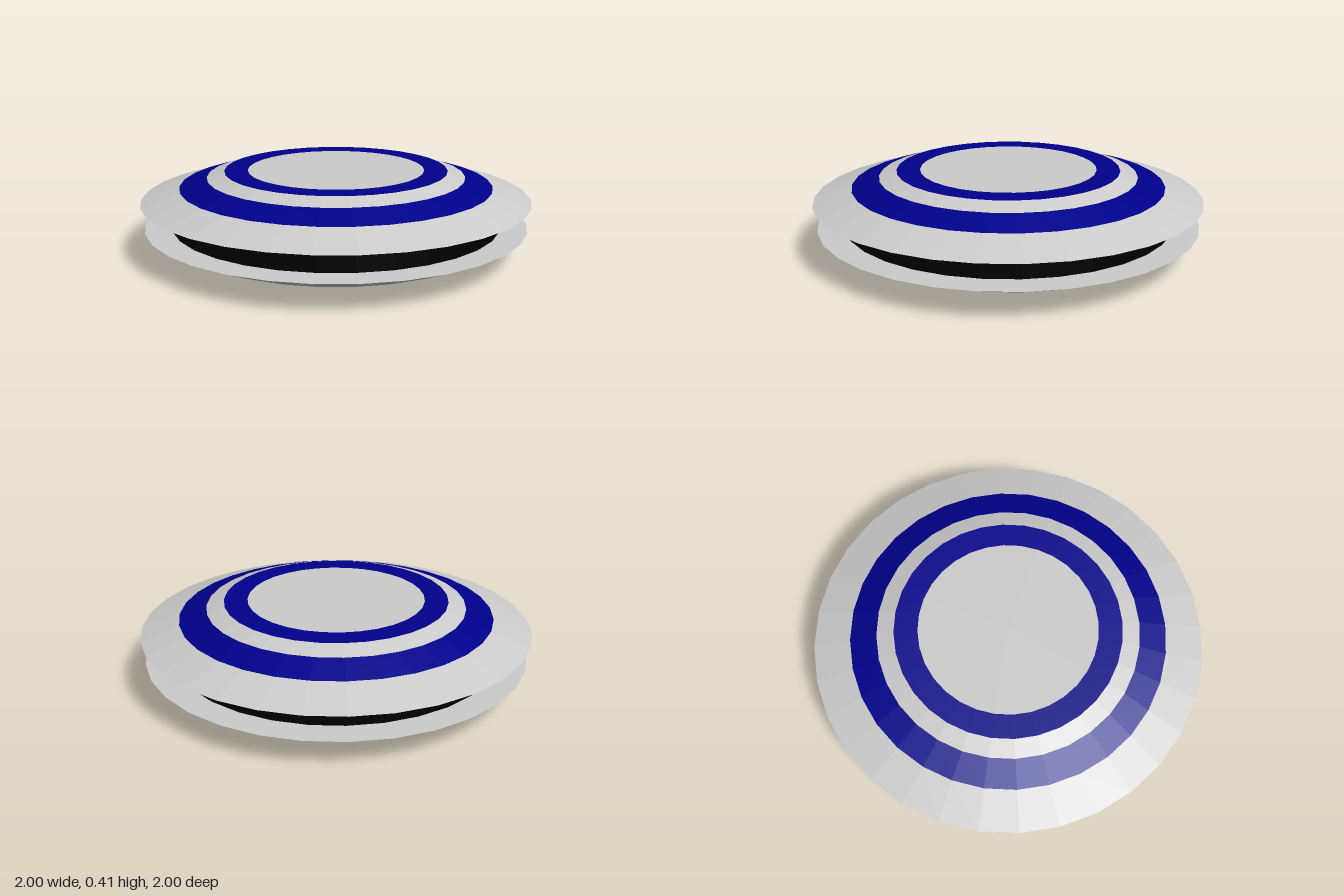
import * as THREE from 'three';

const SIDES = 32;
const GREY = 0xcccccc, NAVY = 0x00008b, BLACK = 0x000000;

const material = (color) => new THREE.MeshStandardMaterial({ color, flatShading: true });
const grey = material(GREY), navy = material(NAVY), black = material(BLACK);

// Faceted ring swept from [radius, y] points; run the profile outward along the
// bottom, up the side and inward along the top so the faces look outward.
function ring(name, mat, ...profile) {
  const points = profile.map(([r, y]) => new THREE.Vector2(r, y));
  const mesh = new THREE.Mesh(new THREE.LatheGeometry(points, SIDES), mat);
  mesh.name = name;
  return mesh;
}

export function createModel() {
  const model = new THREE.Group();
  model.name = 'disc';

  // Lower dish: flat base, shallow flared side with a coloured stripe, flat top
  const lower = new THREE.Group();
  lower.name = 'lowerDish';
  lower.add(
    ring('lowerBase', grey, [0, 0], [0.575, 0], [0.65, 0.022]),
    ring('lowerStripe', navy, [0.65, 0.022], [0.8, 0.062]),
    ring('lowerRim', grey, [0.8, 0.062], [0.985, 0.145], [0, 0.145]),
  );

  // Dark drum recessed between the dishes
  const core = ring('core', black, [0.85, 0.145], [0.85, 0.275]);

  // Upper dish: flat underside, sloping side and flat top, with two stripes
  const upper = new THREE.Group();
  upper.name = 'upperDish';
  upper.add(
    ring('upperRim', grey, [0, 0.275], [1, 0.275], [0.805, 0.338]),
    ring('outerStripe', navy, [0.805, 0.338], [0.665, 0.384]),
    ring('upperShoulder', grey, [0.665, 0.384], [0.575, 0.414]),
    ring('innerStripe', navy, [0.575, 0.414], [0.455, 0.414]),
    ring('topCap', grey, [0.455, 0.414], [0, 0.414]),
  );

  model.add(lower, core, upper);
  return model;
}
